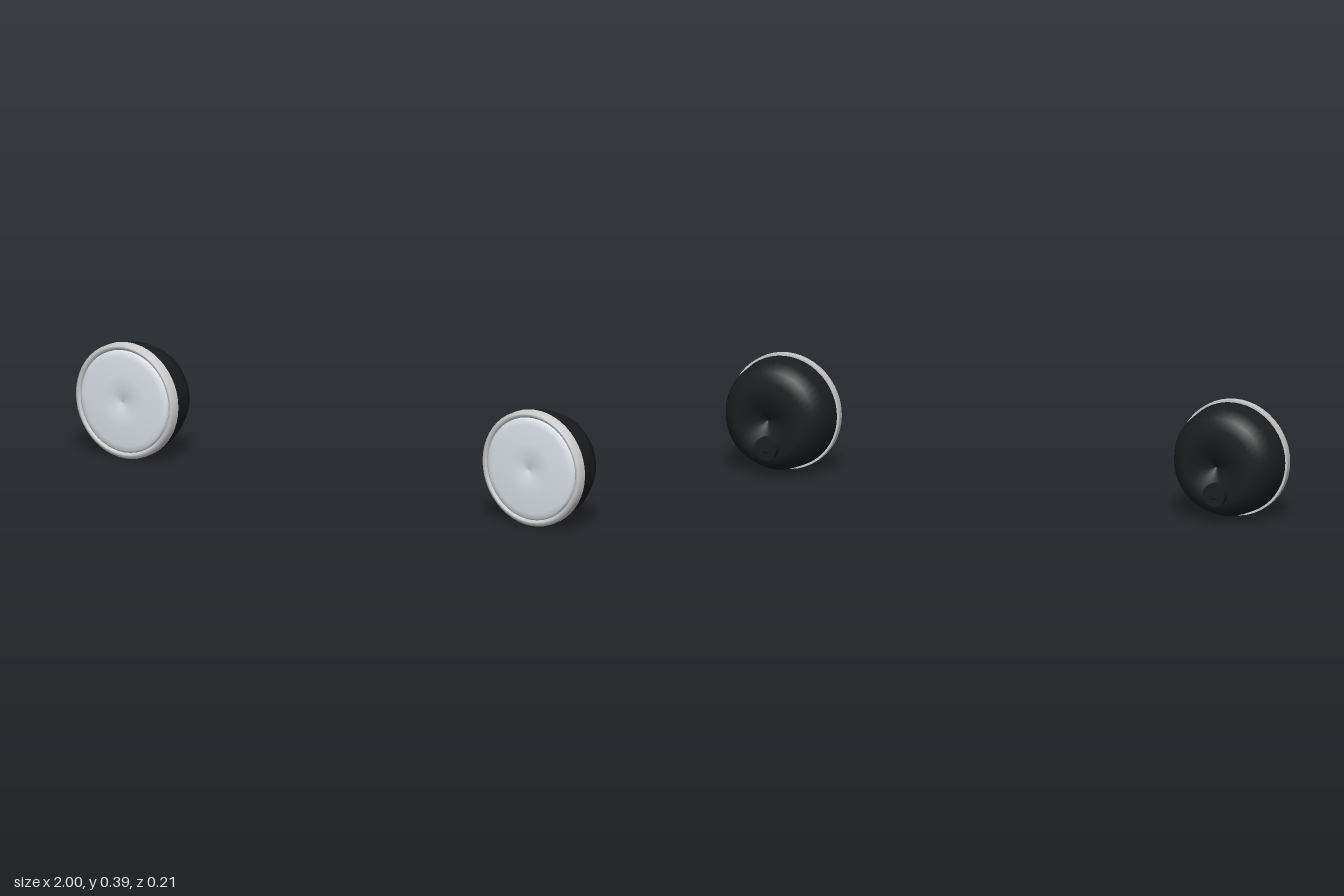
import * as THREE from 'three';

const paint = (color) => new THREE.MeshStandardMaterial({ color });

// Turned part: profile of [radius, z] pairs spun about the z axis
function turned(name, profile, material, segments = 48) {
  const points = profile.map(([r, z]) => new THREE.Vector2(r, z));
  const geometry = new THREE.LatheGeometry(points, segments);
  geometry.rotateX(Math.PI / 2);
  const mesh = new THREE.Mesh(geometry, material);
  mesh.name = name;
  return mesh;
}

function createLamp(name, mats) {
  const lamp = new THREE.Group();
  lamp.name = name;

  // Bowl-shaped housing, closed front and back
  lamp.add(turned('housing', [
    [0.186, 0.075], [0, 0.075], [0, -0.073], [0.123, -0.073], [0.16, -0.055],
    [0.182, -0.005], [0.188, 0.066], [0.186, 0.075],
  ], mats.black));

  // Bright trim ring around the lens
  lamp.add(turned('trimRing', [
    [0.172, 0.063], [0.195, 0.063], [0.195, 0.063], [0.195, 0.087], [0.187, 0.096],
    [0.179, 0.096], [0.173, 0.088], [0.172, 0.063],
  ], mats.chrome));

  // Slightly domed solid lens
  lamp.add(turned('lens', [
    [0.173, 0.078], [0.173, 0.091], [0.166, 0.097], [0.15, 0.1], [0.085, 0.1035],
    [0, 0.105], [0, 0.078], [0.173, 0.078],
  ], mats.glass));

  // Cable socket low on the back
  const socket = new THREE.Group();
  socket.name = 'cableSocket';
  socket.position.y = -0.092;
  const collar = new THREE.Mesh(new THREE.CylinderGeometry(0.039, 0.039, 0.024, 32), mats.black);
  collar.name = 'socketCollar';
  collar.rotation.x = Math.PI / 2;
  collar.position.z = -0.086;
  const neck = new THREE.Mesh(new THREE.CylinderGeometry(0.028, 0.028, 0.03, 32), mats.black);
  neck.name = 'socketNeck';
  neck.rotation.x = Math.PI / 2;
  neck.position.z = -0.068;
  const stub = new THREE.Mesh(new THREE.CylinderGeometry(0.011, 0.011, 0.02, 20), mats.black);
  stub.name = 'cableStub';
  stub.rotation.x = Math.PI / 2 - 0.35;
  stub.position.set(0, -0.012, -0.0885);
  socket.add(collar, neck, stub);
  lamp.add(socket);
  return lamp;
}

export function createModel() {
  const model = new THREE.Group();
  model.name = 'headlampPair';
  const mats = {
    black: paint(0x1a1c1e),
    chrome: paint(0xdcdcdc),
    glass: paint(0xdde3ea),
  };

  // One lamp on each side
  for (const [name, side] of [['leftLamp', 1], ['rightLamp', -1]]) {
    const lamp = createLamp(name, mats);
    lamp.position.set(side * 0.805, 0.195, 0);
    model.add(lamp);
  }
  return model;
}
